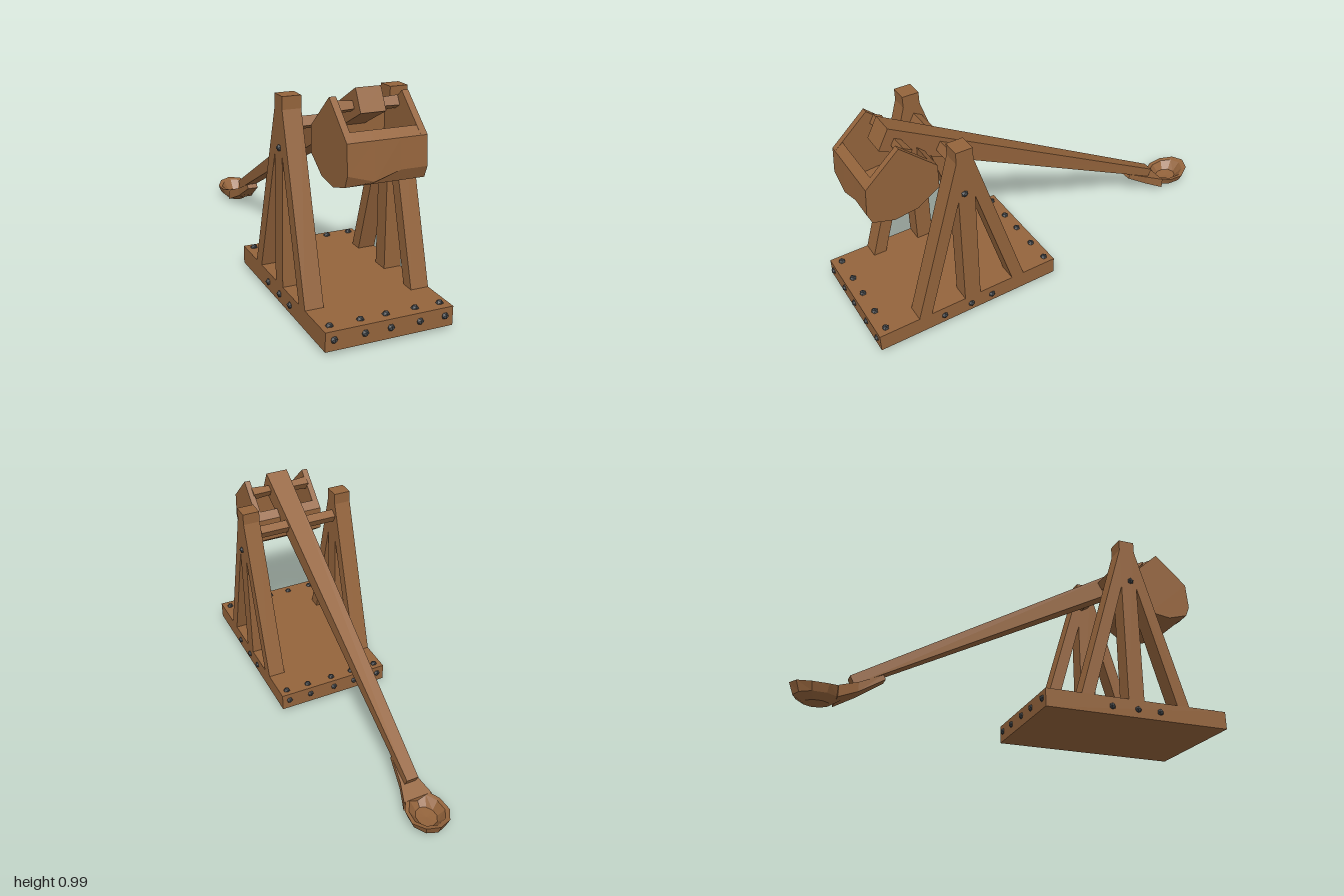
import * as THREE from 'three';

const wood = new THREE.MeshStandardMaterial({ color: 0x94643c, flatShading: true });
wood.name = 'wood';
const iron = new THREE.MeshStandardMaterial({ color: 0x45484b, flatShading: true });
iron.name = 'iron';

export function createModel() {
  const model = new THREE.Group();
  model.name = 'catapult';

  const add = (name, geometry, x = 0, y = 0, z = 0, material = wood) => {
    const mesh = new THREE.Mesh(geometry, material);
    mesh.name = name;
    mesh.position.set(x, y, z);
    model.add(mesh);
    return mesh;
  };

  // Side outline given as [z, y] points, extruded across x and centred
  const sidePlate = (points, width, steps = 1) => {
    const shape = new THREE.Shape(points.map(([z, y]) => new THREE.Vector2(z, y)));
    return new THREE.ExtrudeGeometry(shape, { depth: width, steps, bevelEnabled: false })
      .rotateY(-Math.PI / 2).translate(width / 2, 0, 0);
  };

  // Beam along z; each section is [half width, bottom [z, y], top [z, y]], back to front
  const beam = (sections) => {
    const n = sections.length - 1;
    const g = new THREE.BoxGeometry(1, 1, 1, 1, 1, n);
    const p = g.attributes.position;
    for (let i = 0; i < p.count; i++) {
      const [half, bottom, top] = sections[Math.round((p.getZ(i) + 0.5) * n)];
      const [z, y] = p.getY(i) > 0 ? top : bottom;
      p.setXYZ(i, Math.sign(p.getX(i)) * half, y, z);
    }
    g.computeVertexNormals();
    return g;
  };

  // Base
  add('base', new THREE.BoxGeometry(0.576, 0.085, 0.92), 0, 0.0575, 0.525);

  // Posts and their slanted braces
  const brace = [[0.79, 0.1], [0.555, 0.88], [0.555, 0.68], [0.727, 0.1]];
  const rearBrace = brace.map(([z, y]) => [1.03 - z, y]).reverse();
  for (const s of [-1, 1]) {
    add('post', new THREE.BoxGeometry(0.084, 0.835, 0.08), s * 0.246, 0.5175, 0.515);
    add('frontBrace', sidePlate(brace, 0.084), s * 0.246);
    add('rearBrace', sidePlate(rearBrace, 0.084), s * 0.246);
  }

  // Axle through the arm
  add('axle', new THREE.BoxGeometry(0.43, 0.044, 0.044), 0, 0.805, 0.5).rotation.x = -0.52;

  // Throwing arm
  add('arm', beam([
    [0.029, [-0.728, 0.1], [-0.748, 0.14]],
    [0.056, [0.79, 0.897], [0.74, 0.99]],
  ]));

  // Spoon neck and bowl
  add('spoonNeck', beam([
    [0.07, [-0.8, 0.02], [-0.8, 0.074]],
    [0.042, [-0.71, 0.065], [-0.71, 0.11]],
    [0.028, [-0.59, 0.143], [-0.6, 0.165]],
  ]));
  const bowlProfile = [[0, 0], [0.5, 0.003], [0.84, 0.03], [1, 0.066], [0.8, 0.064], [0.48, 0.028], [0, 0.024]];
  const bowl = new THREE.LatheGeometry(bowlProfile.map(([r, y]) => new THREE.Vector2(r, y)), 10);
  const bp = bowl.attributes.position;
  for (let i = 0; i < bp.count; i++) {
    const z = bp.getZ(i), y = bp.getY(i);
    const narrow = z > 0 ? 1 - 0.2 * z : 1;
    bp.setXYZ(i, bp.getX(i) * 0.1 * narrow, y + (y > 0.05 ? 0.018 * z * z : 0), z * 0.122);
  }
  const bowlFlat = bowl.toNonIndexed();
  bowlFlat.computeVertexNormals();
  add('spoonBowl', bowlFlat, 0, 0, -0.878);

  // Counterweight box: peaked sides and an open shell between them
  const lower = [[0.585, 0.815], [0.585, 0.7], [0.69, 0.63], [0.8, 0.615], [0.9, 0.645], [0.92, 0.695], [0.91, 0.82]];
  const inner = [[0.872, 0.852], [0.872, 0.7], [0.8, 0.66], [0.7, 0.67], [0.62, 0.715], [0.62, 0.848]];
  for (const s of [-1, 1]) {
    add('weightSide', sidePlate([...lower, [0.75, 0.965]], 0.029), s * 0.159);
  }
  const shell = sidePlate([...lower, ...inner], 0.344, 3);
  const sp = shell.attributes.position;
  for (let i = 0; i < sp.count; i++) {
    // Uneven lower front edge
    if (sp.getZ(i) > 0.915 && Math.abs(sp.getX(i) + 0.057) < 0.02) {
      sp.setY(i, 0.662);
      sp.setZ(i, 0.925);
    }
  }
  shell.computeVertexNormals();
  add('weightShell', shell);

  // Hanging bar, thinner towards the arm
  const bar = new THREE.BoxGeometry(0.3, 0.045, 0.045, 2, 1, 1);
  const barPos = bar.attributes.position;
  for (let i = 0; i < barPos.count; i++) {
    const k = Math.abs(barPos.getX(i)) < 0.01 ? 0.65 : 1;
    barPos.setY(i, barPos.getY(i) * k);
    barPos.setZ(i, barPos.getZ(i) * k);
  }
  bar.computeVertexNormals();
  add('hangingBar', bar, 0, 0.91, 0.71).rotation.x = -0.52;

  // Bolts
  const boltGeometry = new THREE.IcosahedronGeometry(0.017, 0);
  const bolt = (x, y, z) => add('bolt', boltGeometry, x, y, z, iron);
  for (const x of [-0.25, -0.115, 0, 0.133, 0.25]) {
    for (const y of [0.1]) {
      bolt(x, y, 0.94);
      bolt(x, y, 0.1);
    }
    bolt(x, 0.063, 0.983);
    bolt(x, 0.063, 0.067);
  }
  for (const z of [0.39, 0.52, 0.635]) bolt(-0.286, 0.055, z);
  for (const z of [0.415, 0.525, 0.665]) bolt(0.286, 0.055, z);
  for (const s of [-1, 1]) bolt(s * 0.286, 0.715, 0.525);

  return model;
}
